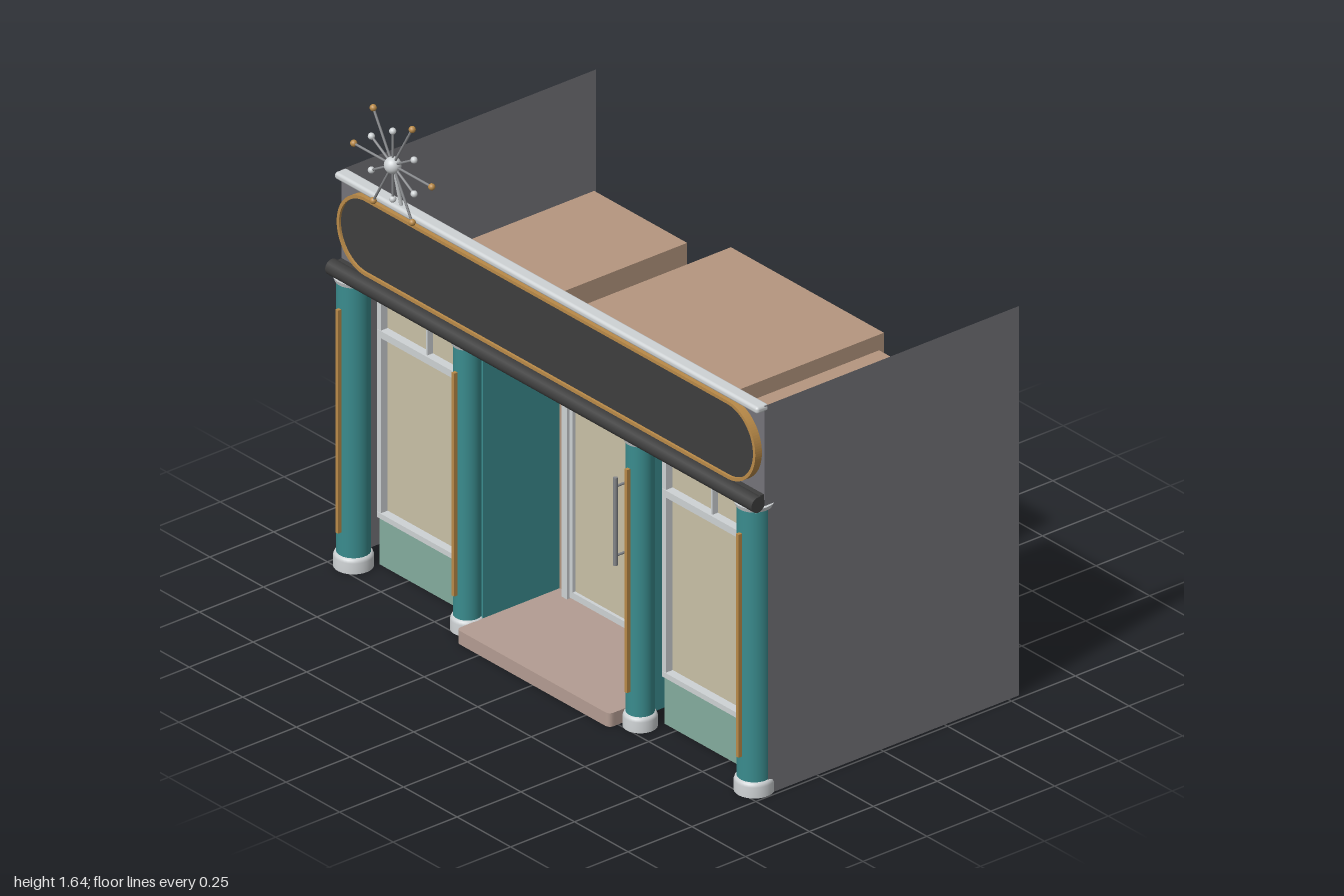
import * as THREE from 'three';
import { RoundedBoxGeometry } from 'three/addons/geometries/RoundedBoxGeometry.js';

const mat = (name, color, double = false) => {
  const m = new THREE.MeshStandardMaterial({ color });
  m.name = name;
  if (double) m.side = THREE.DoubleSide;
  return m;
};

export function createModel() {
  const root = new THREE.Group();
  root.name = 'storefront';
  const teal = mat('teal', 0x3a8c8e, true);
  const aqua = mat('aqua', 0x84ac9e);
  const cream = mat('cream', 0xc9c0a6);
  const silver = mat('silver', 0xced2d4, true);
  const steel = mat('steel', 0x85878a);
  const slate = mat('slate', 0x747379, true);
  const charcoal = mat('charcoal', 0x3e3e3e);
  const gold = mat('gold', 0xb98a48);
  const tan = mat('tan', 0xb5967f);
  const stone = mat('stone', 0xb39c92);

  const add = (name, geo, material, x = 0, y = 0, z = 0, parent = root) => {
    const m = new THREE.Mesh(geo, material);
    m.name = name;
    m.position.set(x, y, z);
    parent.add(m);
    return m;
  };
  // box given by its min and max corners
  const box = (name, material, x0, x1, y0, y1, z0, z1, parent = root) =>
    add(name, new THREE.BoxGeometry(x1 - x0, y1 - y0, z1 - z0), material,
      (x0 + x1) / 2, (y0 + y1) / 2, (z0 + z1) / 2, parent);
  // thin round rod between two points
  const rod = (name, material, a, b, r, parent = root) => {
    const d = b.clone().sub(a);
    const m = add(name, new THREE.CylinderGeometry(r, r, d.length(), 10), material, 0, 0, 0, parent);
    m.position.copy(a).add(b).multiplyScalar(0.5);
    m.quaternion.setFromUnitVectors(new THREE.Vector3(0, 1, 0), d.normalize());
  };
  const V = (x, y, z) => new THREE.Vector3(x, y, z);

  // side walls and fascia: single sheets
  for (const s of [-1, 1]) {
    const wall = add('sideWall', new THREE.PlaneGeometry(0.995, 1.322), slate, s * 0.987, 0.661, -0.0425);
    wall.rotation.y = s * Math.PI / 2;
  }
  add('fascia', new THREE.PlaneGeometry(1.974, 0.345), slate, 0, 1.15, 0.455);
  box('soffit', slate, -0.98, 0.98, 0.972, 0.98, 0.395, 0.455);
  box('entrySoffit', slate, -0.36, 0.36, 0.972, 0.98, 0.375, 0.395);
  add('topTrim', new RoundedBoxGeometry(1.976, 0.024, 0.048, 3, 0.01), silver, 0, 1.312, 0.461);

  // rounded moulding below the sign
  const moulding = add('moulding', new THREE.CylinderGeometry(0.026, 0.026, 1.99, 24), charcoal, 0, 1.0, 0.487);
  moulding.rotation.z = Math.PI / 2;
  box('mouldingBack', charcoal, -0.985, 0.985, 0.985, 1.022, 0.456, 0.487);
  box('lowerTrim', silver, -0.985, 0.985, 0.967, 0.979, 0.45, 0.487);

  // stadium sign board with a gold rim
  const stadium = (hw, r, Type) => {
    const p = new Type();
    p.absarc(hw - r, 0, r, -Math.PI / 2, Math.PI / 2, false);
    p.absarc(-hw + r, 0, r, Math.PI / 2, Math.PI * 1.5, false);
    p.closePath();
    return p;
  };
  add('signBoard', new THREE.ExtrudeGeometry(stadium(0.97, 0.125, THREE.Shape),
    { depth: 0.018, bevelEnabled: false, curveSegments: 24 }), charcoal, 0, 1.16, 0.457);
  const rim = stadium(0.977, 0.132, THREE.Shape);
  rim.holes.push(stadium(0.966, 0.121, THREE.Path));
  add('signRim', new THREE.ExtrudeGeometry(rim,
    { depth: 0.026, bevelEnabled: false, curveSegments: 24 }), gold, 0, 1.16, 0.457);

  // columns with base, cap and gold strip
  const baseProfile = r => [[r, 0], [r, 0.036], [r - 0.003, 0.045], [r - 0.009, 0.05], [r - 0.02, 0.052]]
    .map(p => new THREE.Vector2(...p));
  for (const [cx, r] of [[0.935, 0.053], [0.403, 0.044]]) {
    for (const s of [-1, 1]) {
      const g = new THREE.Group();
      g.name = 'column';
      g.position.set(s * cx, 0, 0.452);
      root.add(g);
      add('shaft', new THREE.CylinderGeometry(r, r, 0.965, 32, 1, true), teal, 0, 0.4875, 0, g);
      add('base', new THREE.LatheGeometry(baseProfile(r + 0.009), 32), silver, 0, 0, 0, g);
      add('cap', new THREE.CylinderGeometry(r + 0.009, r + 0.004, 0.014, 32), silver, 0, 0.975, 0, g);
      box('strip', gold, -0.006, 0.006, 0.13, 0.887, r - 0.002, r + 0.013, g);
    }
  }

  // display windows with bulkhead and room behind
  for (const s of [-1, 1]) {
    const g = new THREE.Group();
    g.name = 'displayWindow';
    g.position.x = s * 0.665;
    root.add(g);
    box('room', tan, -0.217, 0.217, 0, 0.985, -0.445, 0.36, g);
    box('bulkhead', aqua, -0.222, 0.222, 0, 0.166, 0.36, 0.39, g);
    box('glass', cream, -0.217, 0.217, 0.166, 0.965, 0.362, 0.371, g);
    for (const [y0, y1] of [[0.164, 0.182], [0.778, 0.802], [0.95, 0.975]])
      box('rail', silver, -0.222, 0.222, y0, y1, 0.36, 0.4, g);
    for (const t of [-1, 1])
      box('stile', silver, t * 0.216 - 0.009, t * 0.216 + 0.009, 0.166, 0.975, 0.36, 0.398, g);
    box('mullion', silver, -0.004, 0.004, 0.8, 0.952, 0.365, 0.392, g);
  }

  // entry: room, step, recess walls and ceiling
  box('entryRoom', tan, -0.357, 0.357, 0.04, 0.975, -0.54, 0.13);
  const st = new THREE.Shape();
  const c = 0.02;
  st.moveTo(-0.357, -0.13);
  st.lineTo(-0.357, -0.535 + c);
  st.quadraticCurveTo(-0.357, -0.535, -0.357 + c, -0.535);
  st.lineTo(0.357 - c, -0.535);
  st.quadraticCurveTo(0.357, -0.535, 0.357, -0.535 + c);
  st.lineTo(0.357, -0.13);
  const step = add('step', new THREE.ExtrudeGeometry(st, { depth: 0.046, bevelEnabled: false }), stone);
  step.rotation.x = -Math.PI / 2;
  box('entryCeiling', cream, -0.357, 0.357, 0.966, 0.974, 0.15, 0.38);
  for (const s of [-1, 1])
    box('recessWall', teal, s * 0.36 - 0.003, s * 0.36 + 0.003, 0, 0.972, 0.13, 0.43);

  // door frame, transom and double doors
  box('doorHead', silver, -0.315, 0.315, 0.95, 0.97, 0.13, 0.155);
  box('transom', cream, -0.3, 0.3, 0.78, 0.952, 0.131, 0.138);
  box('lintel', tan, -0.296, 0.296, 0.759, 0.78, 0.131, 0.16);
  for (const s of [-1, 1]) {
    const g = new THREE.Group();
    g.name = 'door';
    g.position.x = s * 0.15;
    root.add(g);
    box('doorPost', silver, s * 0.15 - 0.012, s * 0.15 + 0.012, 0.046, 0.97, 0.13, 0.16, g);
    box('doorGlass', cream, -0.14, 0.14, 0.05, 0.755, 0.131, 0.139, g);
    for (const t of [-1, 1])
      box('doorStile', silver, t * 0.133 - 0.01, t * 0.133 + 0.01, 0.05, 0.757, 0.131, 0.15, g);
    box('doorTopRail', silver, -0.14, 0.14, 0.739, 0.757, 0.131, 0.15, g);
    box('doorBottomRail', silver, -0.14, 0.14, 0.05, 0.072, 0.131, 0.15, g);
    // pull handle on two stubs
    const hx = s * -0.108;
    rod('handle', steel, V(hx, 0.268, 0.176), V(hx, 0.566, 0.176), 0.007, g);
    for (const y of [0.3, 0.535])
      rod('handleStub', steel, V(hx, y, 0.14), V(hx, y, 0.176), 0.004, g);
  }
  box('doorGap', steel, -0.005, 0.005, 0.05, 0.757, 0.131, 0.145);

  // starburst ornament with alternating long and short spokes
  const burst = new THREE.Group();
  burst.name = 'starburst';
  burst.position.set(-0.695, 1.471, 0.5);
  root.add(burst);
  add('hub', new THREE.SphereGeometry(0.027, 24, 16), silver, 0, 0, 0, burst);
  for (let i = 0; i < 12; i++) {
    const a = i * Math.PI / 6, long = i % 2 === 0;
    const len = long ? 0.182 : 0.115;
    const tip = V(Math.cos(a) * len, Math.sin(a) * len, 0);
    rod('spoke', steel, V(0, 0, 0), tip, 0.004, burst);
    add('spokeTip', new THREE.SphereGeometry(0.011, 14, 10), long ? gold : silver, tip.x, tip.y, 0, burst);
  }
  rod('support', silver, V(0, -0.155, -0.035), V(0, 0, -0.003), 0.006, burst);
  return root;
}
